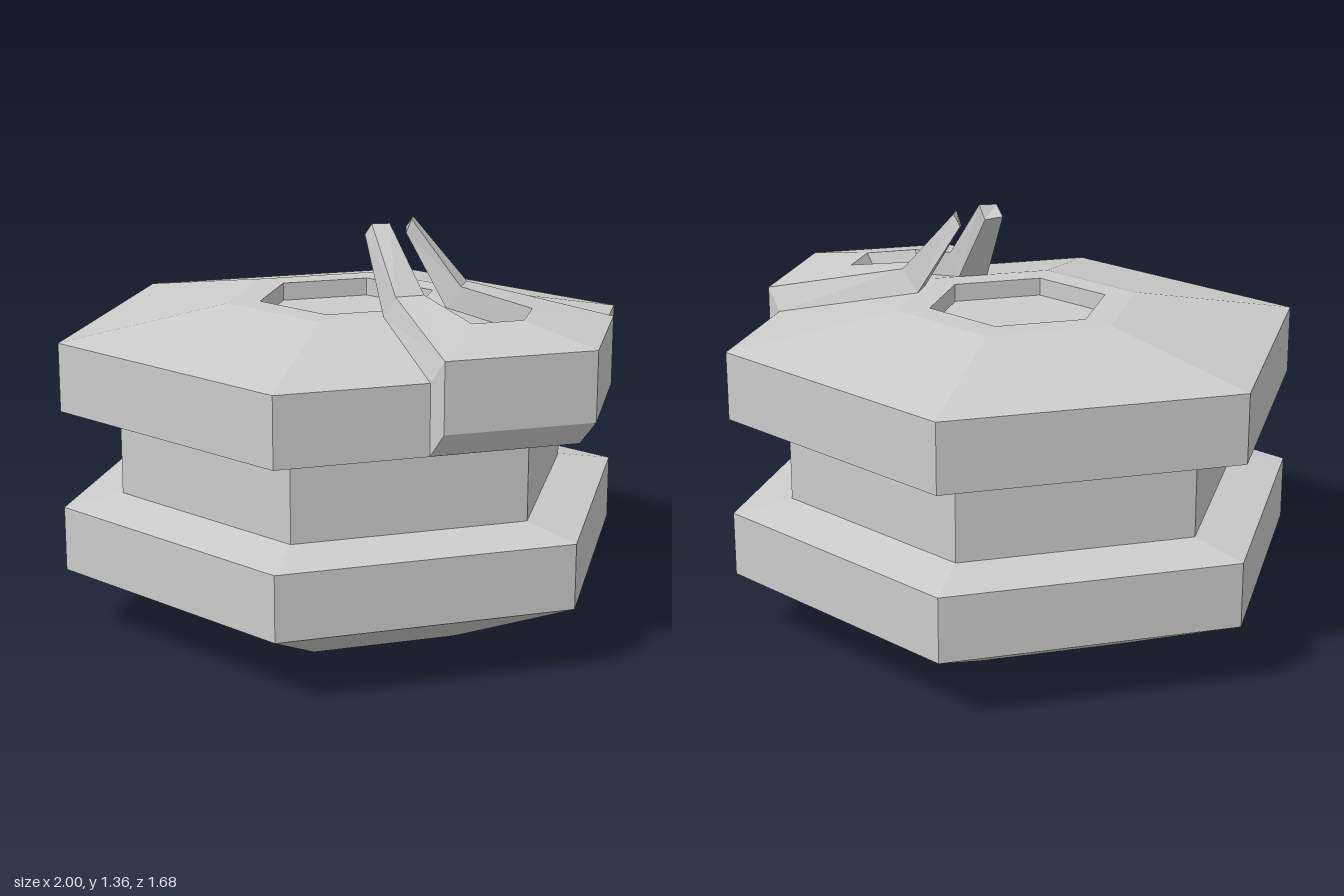
import * as THREE from 'three';

const V2 = (x, y) => new THREE.Vector2(x, y);

export function createModel() {
  const group = new THREE.Group();
  const material = new THREE.MeshStandardMaterial({ color: 0xcccccc, flatShading: true });
  const shellMaterial = material.clone();
  shellMaterial.side = THREE.DoubleSide;

  // Six-sided spool: tapered foot, two flanges, narrow waist, sloped cap with a shallow recess
  const profile = [
    V2(0, 0), V2(0.485, 0), V2(0.97, 0.218), V2(0.97, 0.433), V2(0.775, 0.465),
    V2(0.775, 0.725), V2(0.97, 0.758), V2(0.97, 0.985), V2(0.41, 1.08),
    V2(0.3, 1.08), V2(0.3, 1.02), V2(0, 1.02),
  ];
  const spool = new THREE.Mesh(new THREE.LatheGeometry(profile, 6, Math.PI / 2), material);
  spool.name = 'hexagonalSpool';
  spool.position.x = -0.03;
  group.add(spool);

  // Corners of one half of the pronged bracket; lower-case = upper edge, upper-case = lower edge
  const p = {
    a: [1.0, 1.06, 0], b: [0.752, 1.06, 0.42], // outer rim
    c: [0.34, 1.155, 0.175], d: [0.17, 1.358, 0.1], // outer side of prong
    e: [0.205, 1.358, 0.053], f: [0.385, 1.155, 0.09], // inner side of prong
    g: [0.63, 1.11, 0.15], h: [0.715, 1.11, 0], // rear of the opening
    B: [0.697, 0.985, 0.42], C: [0.28, 1.08, 0.165], D: [0.14, 1.32, 0.1],
    E: [0.18, 1.31, 0.055], F: [0.335, 1.075, 0.08],
    G: [0.58, 1.035, 0.14], H: [0.655, 1.025, 0],
    i: [1.0, 0.835, 0], j: [0.752, 0.835, 0.42], // lower rim and its bevel
    I: [0.94, 0.758, 0], J: [0.697, 0.758, 0.42],
  };
  const quads = [
    'ahgb', 'bgfc', 'cfed', // top
    'bcCB', 'cdDC', 'deED', // outer wall and prong tip
    'efFE', 'fgGF', 'ghHG', // opening wall
    'CDEF', 'abji', 'ijJI', 'bBJj', // prong underside, rim, bevel, end
  ];
  const positions = [];
  for (const side of [1, -1]) {
    for (const quad of quads) {
      const q = [...quad].map((k) => [p[k][0], p[k][1], p[k][2] * side]);
      if (side < 0) q.reverse();
      for (const k of [0, 1, 2, 0, 2, 3]) positions.push(...q[k]);
    }
  }
  const geometry = new THREE.BufferGeometry();
  geometry.setAttribute('position', new THREE.Float32BufferAttribute(positions, 3));
  geometry.computeVertexNormals();
  const bracket = new THREE.Mesh(geometry, shellMaterial);
  bracket.name = 'prongedBracket';
  group.add(bracket);

  return group;
}
